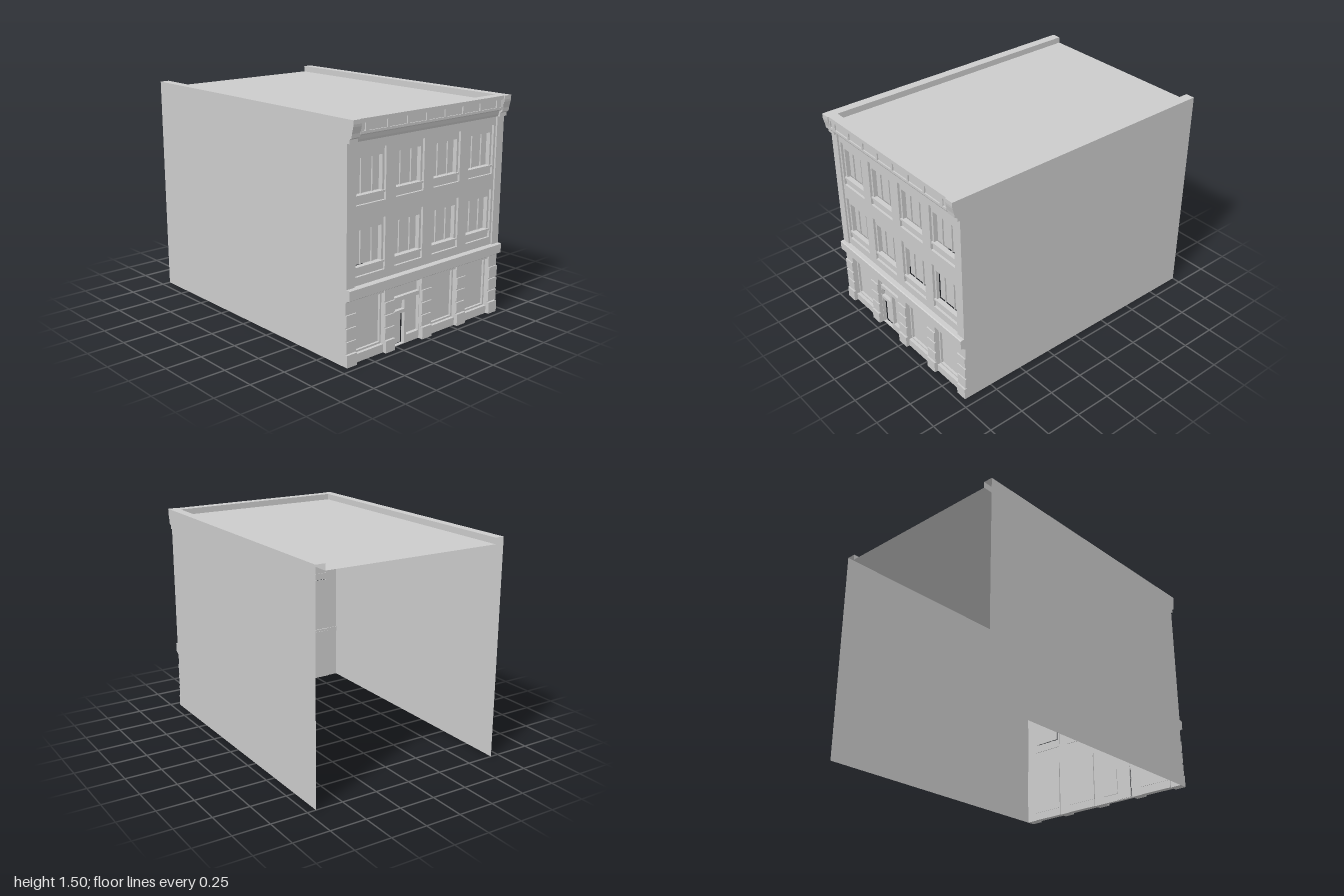
import * as THREE from 'three';

const mat = new THREE.MeshStandardMaterial({ color: 0xcccccc, side: THREE.DoubleSide });

export function createModel() {
  const building = new THREE.Group();
  building.name = 'building';

  const add = (name, geo) => {
    const m = new THREE.Mesh(geo, mat);
    m.name = name;
    building.add(m);
    return m;
  };
  const box = (name, x0, x1, y0, y1, z0, z1) =>
    add(name, new THREE.BoxGeometry(x1 - x0, y1 - y0, z1 - z0)
      .translate((x0 + x1) / 2, (y0 + y1) / 2, (z0 + z1) / 2));
  // flat sheet from four corners
  const quad = (name, a, b, c, d) => {
    const g = new THREE.BufferGeometry();
    g.setAttribute('position', new THREE.Float32BufferAttribute([...a, ...b, ...c, ...a, ...c, ...d], 3));
    g.computeVertexNormals();
    return add(name, g);
  };
  // [z, y] profile swept along x
  const moulding = (name, pts, x0, x1) => {
    const s = new THREE.Shape(pts.map(p => new THREE.Vector2(...p)));
    return add(name, new THREE.ExtrudeGeometry(s, { depth: x1 - x0, bevelEnabled: false })
      .rotateY(-Math.PI / 2).translate(x1, 0, 0));
  };
  const rect = (x0, x1, y0, y1, C = THREE.Shape) => {
    const s = new C();
    s.moveTo(x0, y0); s.lineTo(x1, y0); s.lineTo(x1, y1); s.lineTo(x0, y1); s.closePath();
    return s;
  };
  // slab with rectangular openings
  const slab = (name, outer, holes, z0, z1) => {
    const s = rect(...outer);
    holes.forEach(h => s.holes.push(rect(...h, THREE.Path)));
    return add(name, new THREE.ExtrudeGeometry(s, { depth: z1 - z0, bevelEnabled: false }).translate(0, 0, z0));
  };

  // shell: side walls, parapet and roof, open at the back
  const W = 0.69, P = 0.625, H = 1.5, R = 1.458, F = 0.925;
  for (const s of [-1, 1]) {
    quad('sideWall', [s * W, 0, -1], [s * W, 0, 0.94], [s * W, H, 0.94], [s * W, H, -1]);
    quad('parapetTop', [s * W, H, -1], [s * W, H, F], [s * P, H, F], [s * P, H, -1]);
    quad('parapetInside', [s * P, R, -1], [s * P, R, F], [s * P, H, F], [s * P, H, -1]);
  }
  quad('roof', [-P, R, -1], [-P, R, F], [P, R, F], [P, R, -1]);

  // cornice: moulded band, panelled frieze and end brackets
  moulding('cornice', [[F, 1.36], [0.95, 1.36], [0.957, 1.375], [0.962, 1.398], [0.975, 1.402],
    [0.983, 1.415], [0.983, H], [F, H]], -P, P);
  const panels = [[-0.615, -0.588, 1.427, 1.475], [0.588, 0.615, 1.427, 1.475]];
  for (let i = -3; i <= 3; i++) panels.push([i * 0.162 - 0.073, i * 0.162 + 0.073, 1.427, 1.475]);
  slab('frieze', [-P, P, 1.412, H], panels, 0.982, 0.992);
  for (const x of [-W, P])
    moulding('corniceBracket', [[F, 1.36], [0.968, 1.36], [0.968, 1.385], [0.985, 1.395],
      [0.988, 1.42], [0.998, 1.46], [1, 1.475], [1, H], [F, H]], x, x + W - P);

  // upper storeys
  for (const x of [-W, P]) box('cornerPier', x, x + W - P, 0.49, 1.36, 0.905, 0.95);
  const bays = [[-0.608, -0.368], [-0.285, -0.043], [0.043, 0.285], [0.368, 0.608]];
  const storeys = [[0.545, 0.875], [0.98, 1.305]];
  const openings = storeys.flatMap(([y0, y1]) => bays.map(([x0, x1]) => [x0, x1, y0, y1]));
  slab('upperWall', [-P, P, 0.49, 1.36], openings, 0.905, 0.938);
  for (const [x0, x1, y0, y1] of openings) {
    const a = x0 + 0.016, b = x1 - 0.016, sill = y0 + 0.058, top = y1 - 0.05;
    slab('windowSurround', [x0, x1, y0, y1], [[a, b, sill, top]], 0.9, 0.922);
    box('windowSill', x0, x1, sill - 0.012, sill, 0.915, 0.934);
    box('windowGlass', a, b, sill, top, 0.888, 0.892);
    for (const k of [0.28, 0.72]) {
      const x = a + (b - a) * k;
      box('mullion', x - 0.004, x + 0.004, sill, top, 0.89, 0.902);
    }
  }

  // belt course above the shopfront
  moulding('beltCourse', [[0.905, 0.405], [0.942, 0.408], [0.962, 0.422], [0.977, 0.428],
    [0.977, 0.488], [0.97, 0.492], [0.905, 0.492]], -W, W);

  // ground floor piers in grooved courses
  const piers = [[-W, -0.61], [-0.368, -0.287], [-0.043, 0.043], [0.287, 0.368], [0.61, W]];
  for (const [x0, x1] of piers) {
    box('pierCore', x0, x1, 0, 0.41, 0.9, 0.943);
    box('pierBase', x0, x1, 0, 0.08, 0.9, 0.96);
    for (const y of [0.086, 0.171, 0.256]) box('pierBlock', x0, x1, y, y + 0.074, 0.905, 0.952);
  }

  // shop windows
  for (const i of [0, 2, 3]) {
    const [x0, x1] = bays[i];
    box('shopLintel', x0, x1, 0.393, 0.41, 0.895, 0.935);
    box('shopPlinth', x0, x1, 0, 0.055, 0.895, 0.935);
    slab('shopFrame', [x0, x1, 0.055, 0.393], [[x0 + 0.012, x1 - 0.012, 0.067, 0.381]], 0.895, 0.913);
    box('shopGlass', x0, x1, 0.055, 0.393, 0.892, 0.897);
  }

  // entrance bay with door, side light and transoms
  const [e0, e1] = bays[1], doorR = -0.175, lightL = -0.155;
  slab('entranceFrame', [e0, e1, 0, 0.41], [
    [e0 + 0.003, e1 - 0.003, 0.325, 0.395],
    [e0 + 0.003, doorR, 0.235, 0.298],
    [e0 + 0.003, doorR, 0.004, 0.213],
    [lightL, e1 - 0.003, 0.055, 0.298],
  ], 0.9, 0.925);
  box('transomGlass', e0, e1, 0.23, 0.4, 0.893, 0.898);
  box('sideLightGlass', lightL - 0.01, e1, 0.05, 0.23, 0.893, 0.898);
  box('door', e0, doorR, 0, 0.23, 0.885, 0.89);

  return building;
}
